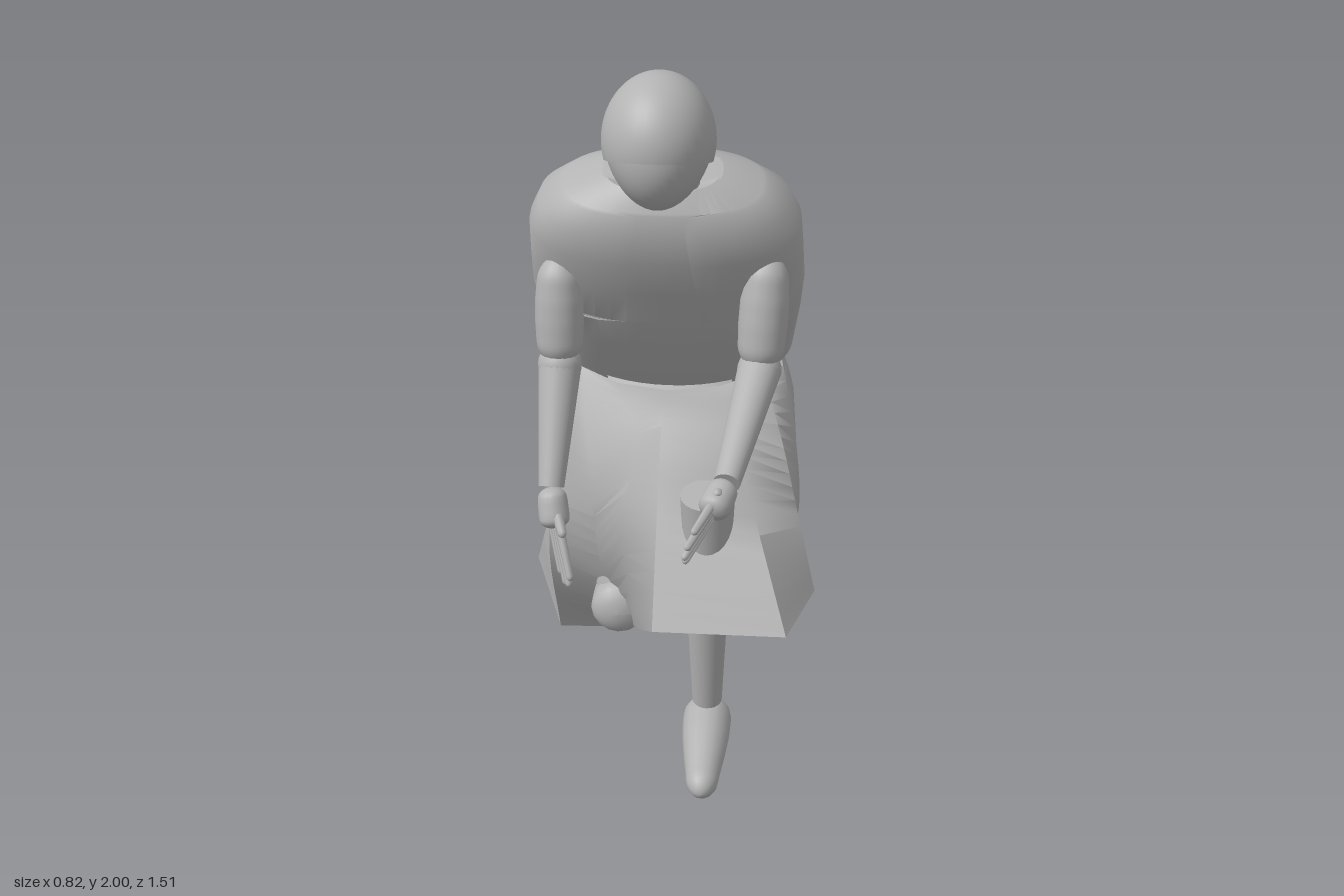
import * as THREE from 'three';
import { toCreasedNormals } from 'three/addons/utils/BufferGeometryUtils.js';

const V = (x, y, z) => new THREE.Vector3(x, y, z);
const lerp = THREE.MathUtils.lerp;

// surface through rows of points
function loft(rows, closed, crease) {
  const n = rows[0].length, pos = [], idx = [];
  rows.forEach(r => r.forEach(p => pos.push(p.x, p.y, p.z)));
  for (let i = 0; i < rows.length - 1; i++) {
    for (let j = 0; j < (closed ? n : n - 1); j++) {
      const a = i * n + j, b = i * n + (j + 1) % n;
      idx.push(a, b, b + n, a, b + n, a + n);
    }
  }
  const g = new THREE.BufferGeometry();
  g.setAttribute('position', new THREE.Float32BufferAttribute(pos, 3));
  g.setIndex(idx);
  g.computeVertexNormals();
  return toCreasedNormals(g, crease);
}

// round-ended tube whose radius follows a list spread evenly along its length
function taper(points, radii, cap, sides = 16) {
  const steps = 32, curve = new THREE.CatmullRomCurve3(points.map(p => V(...p)), false, 'centripetal');
  const g = new THREE.TubeGeometry(curve, steps, 1, sides), p = g.attributes.position, v = V(0, 0, 0);
  const len = curve.getLength();
  for (let i = 0; i <= steps; i++) {
    const u = (1 - Math.cos(Math.PI * i / steps)) / 2;
    const from = curve.getPointAt(i / steps), to = curve.getPointAt(u), s = u * (radii.length - 1);
    const k = Math.min(Math.floor(s), radii.length - 2);
    const e = 1 - Math.min(1, Math.min(u, 1 - u) * len / cap);
    const r = lerp(radii[k], radii[k + 1], s - k) * Math.sqrt(Math.max(0, 1 - e * e));
    for (let j = 0; j <= sides; j++) {
      const q = i * (sides + 1) + j;
      v.fromBufferAttribute(p, q).sub(from).multiplyScalar(r).add(to);
      p.setXYZ(q, v.x, v.y, v.z);
    }
  }
  g.computeVertexNormals();
  return g;
}

// straight cone section between two points
function cone(a, b, ra, rb) {
  const A = V(...a), B = V(...b), d = B.clone().sub(A);
  const g = new THREE.CylinderGeometry(rb, ra, d.length(), 24);
  g.applyQuaternion(new THREE.Quaternion().setFromUnitVectors(V(0, 1, 0), d.clone().normalize()));
  const m = A.add(B).multiplyScalar(0.5);
  return g.translate(m.x, m.y, m.z);
}

// torso rings: back z, back y, front z, front y, half width, half width of the front opening, roundness
const RINGS = [
  [-0.35, 1.20, -0.04, 1.03, 0.33, 0.17, 1],
  [-0.24, 1.38, 0.10, 1.20, 0.35, 0.17, 0.93],
  [-0.19, 1.47, 0.16, 1.295, 0.357, 0.17, 0.88],
  [-0.185, 1.48, 0.165, 1.305, 0.357, 0.095, 0.88],
  [-0.13, 1.57, 0.22, 1.40, 0.352, 0.09, 0.85],
  [-0.07, 1.65, 0.27, 1.50, 0.345, 0.075, 0.82],
  [-0.02, 1.70, 0.29, 1.58, 0.315, 0.065, 0.8],
  [0.02, 1.73, 0.287, 1.635, 0.26, 0.06, 0.8],
  [0.025, 1.735, 0.285, 1.642, 0.25, 0.1, 0.8],
  [0.07, 1.755, 0.26, 1.69, 0.15, 0.085, 0.85],
];

function torsoRow([bz, by, fz, fy, w, gap, e], k, open, n = 48) {
  const row = [], d = open ? Math.asin(Math.pow(gap / w, 1 / e)) : 0;
  for (let j = 0; j <= n; j++) {
    const a = lerp(d, 2 * Math.PI - d, j / n), s = Math.sin(a), c = Math.cos(a);
    const t = Math.sign(c) * Math.pow(Math.abs(c), e) * k;
    row.push(V(Math.sign(s) * Math.pow(Math.abs(s), e) * w * k,
      (by + fy) / 2 + t * (fy - by) / 2, (bz + fz) / 2 + t * (fz - bz) / 2));
  }
  return row;
}

// skirt columns, anticlockwise from the front: hip, fold, hem
const SKIRT = [
  [[0, 1.045, 0.23], [0, 0.87, 0.38], [0, 0.62, 0.55]],
  [[0.18, 1.045, 0.23], [0.25, 0.87, 0.38], [0.34, 0.62, 0.55]],
  [[0.31, 1.0, 0.18], [0.36, 0.83, 0.28], [0.41, 0.64, 0.35]],
  [[0.35, 0.92, 0.05], [0.36, 0.76, 0.17], [0.31, 0.65, 0.23]],
  [[0.34, 0.95, -0.16], [0.29, 0.8, -0.1], [0.17, 0.55, -0.02]],
  [[0.22, 0.97, -0.35], [0.14, 0.79, -0.27], [0.03, 0.46, -0.24]],
  [[0.02, 0.97, -0.4], [-0.01, 0.78, -0.3], [-0.06, 0.46, -0.25]],
  [[-0.18, 0.97, -0.36], [-0.18, 0.78, -0.3], [-0.2, 0.46, -0.26]],
  [[-0.28, 0.95, -0.27], [-0.3, 0.75, -0.27], [-0.35, 0.46, -0.27]],
  [[-0.31, 0.85, -0.15], [-0.345, 0.62, -0.18], [-0.41, 0.35, -0.26]],
  [[-0.3, 0.83, 0], [-0.34, 0.55, -0.02], [-0.34, 0.15, -0.2]],
  [[-0.2, 0.85, 0.13], [-0.19, 0.55, 0.06], [-0.13, 0.15, -0.21]],
  [[-0.07, 0.97, 0.2], [-0.1, 0.8, 0.28], [-0.07, 0.39, 0.18]],
];

// each column starts on the tilted oval of the waist
function skirtCurve(column, i) {
  const a = i / SKIRT.length * Math.PI * 2, c = Math.cos(a);
  const waist = V(0.3 * Math.sin(a), 1.105 - 0.065 * c, -0.185 + 0.185 * c);
  return new THREE.CatmullRomCurve3([waist, ...column.map(p => V(...p))], false, 'centripetal');
}

export function createModel() {
  const model = new THREE.Group();
  const grey = new THREE.MeshStandardMaterial({ color: 0xb3b3b3, side: THREE.DoubleSide });
  grey.name = 'plain grey';
  const add = (name, g, parent = model) => {
    const m = new THREE.Mesh(g, grey);
    m.name = name;
    parent.add(m);
    return m;
  };

  // head with a narrowing jaw
  const headG = new THREE.SphereGeometry(1, 40, 28), hp = headG.attributes.position;
  for (let i = 0; i < hp.count; i++) {
    const y = hp.getY(i), low = Math.max(0, -y);
    hp.setXYZ(i, hp.getX(i) * 0.133 * (1 - 0.15 * low), 1.835 + y * 0.162, 0.29 + hp.getZ(i) * 0.158 + low * 0.02);
  }
  headG.computeVertexNormals();
  add('head', headG);
  const hair = add('hair', new THREE.SphereGeometry(1, 40, 24, 0, Math.PI * 2, 0, Math.PI * 0.6));
  hair.scale.set(0.138, 0.163, 0.163);
  hair.position.set(0, 1.838, 0.292);
  hair.rotation.x = -0.25;
  add('ponytail', taper([[0, 1.83, 0.14], [0, 1.82, 0.08], [0, 1.74, -0.03], [0, 1.64, -0.11], [0, 1.54, -0.15]],
    [0.044, 0.043, 0.04, 0.037, 0.033, 0.028, 0.024], 0.03));
  add('neck', cone([0, 1.62, 0.13], [0, 1.78, 0.25], 0.1, 0.085));

  // shirt inside an open vest
  const shirt = [[-0.33, 1.08, 0, 0.98, 0.29, 0, 1], ...RINGS].map(r => torsoRow(r, 0.96, false));
  shirt.push(shirt[0].map(() => V(0, 1.66, 0.16)));
  add('shirt', loft(shirt, false, 0.8));
  add('vest', loft(RINGS.map(r => torsoRow(r, 1, true)), false, 0.7));

  // skirt draped over the raised and the kneeling leg
  const curves = SKIRT.map(skirtCurve), rows = [];
  for (let i = 0; i <= 18; i++) rows.push(curves.map(c => c.getPoint(i / 18)));
  add('skirt', loft(rows, true, 0.8));

  // seat
  for (const s of [1, -1]) {
    const seat = add(s > 0 ? 'leftSeat' : 'rightSeat', new THREE.SphereGeometry(1, 24, 16));
    seat.scale.set(0.13, 0.115, 0.15);
    seat.position.set(s * 0.09 + 0.02, 0.895, -0.245);
  }

  // raised left leg
  add('leftThigh', cone([0.12, 0.95, -0.15], [0.13, 0.86, 0.34], 0.1, 0.07));
  add('leftShin', cone([0.13, 0.26, 0.31], [0.13, 0.935, 0.395], 0.04, 0.07));
  add('leftFoot', taper([[0.13, 0.195, 0.24], [0.13, 0.17, 0.4], [0.13, 0.138, 0.578]],
    [0.064, 0.066, 0.063, 0.055, 0.045, 0.038], 0.05));

  // kneeling right leg
  add('rightThigh', cone([-0.12, 0.9, -0.2], [-0.14, 0.4, -0.04], 0.1, 0.07));
  add('rightShin', taper([[-0.14, 0.365, 0.07], [-0.14, 0.36, -0.1], [-0.135, 0.298, -0.64]],
    [0.08, 0.078, 0.07, 0.06, 0.052, 0.045, 0.038], 0.05));
  add('rightFoot', taper([[-0.135, 0.34, -0.695], [-0.135, 0.17, -0.693], [-0.14, 0, -0.695]],
    [0.063, 0.064, 0.061, 0.055, 0.048, 0.04], 0.045));

  // arms: shoulder, elbow, wrist, knuckles, fingertips, spread direction
  const arms = {
    left: [[0.265, 1.51, 0.17], [0.25, 1.21, 0.22], [0.185, 1.06, 0.56], [0.15, 1.02, 0.65], [0.095, 0.965, 0.75], [0.005, 0.017, -0.006]],
    right: [[-0.265, 1.49, 0.17], [-0.265, 1.2, 0.2], [-0.275, 0.92, 0.35], [-0.262, 0.82, 0.39], [-0.225, 0.685, 0.45], [0.008, 0.004, 0.015]],
  };
  for (const [side, [sh, el, wr, kn, tip, sp]] of Object.entries(arms)) {
    const arm = new THREE.Group();
    arm.name = side + 'Arm';
    model.add(arm);
    add('upperArm', taper([sh, el], [0.045, 0.056, 0.062, 0.063, 0.06, 0.055], 0.06), arm);
    const elbow = add('elbow', new THREE.SphereGeometry(0.057, 20, 14), arm);
    elbow.position.set(...el);
    add('forearm', cone(el, wr, 0.056, 0.033), arm);
    add('palm', taper([wr, kn], [0.034, 0.039, 0.04, 0.038], 0.025), arm);
    const shift = (p, k) => p.map((c, i) => c + sp[i] * k);
    for (let f = 0; f < 4; f++) {
      const k = f - 1.5, reach = f % 3 ? 1 : 0.85;
      const end = shift(kn.map((c, i) => lerp(c, tip[i], reach)), k * 1.3);
      add('finger' + (f + 1), taper([shift(wr.map((c, i) => lerp(c, kn[i], 0.7)), k), end],
        [0.012, 0.011, 0.009], 0.01, 8), arm);
    }
    const mid = wr.map((c, i) => lerp(c, kn[i], 0.2));
    const thumb = shift(wr.map((c, i) => lerp(c, kn[i], 1.1)), 3.2);
    add('thumb', taper([mid, thumb], [0.017, 0.015, 0.011], 0.012, 8), arm);
  }
  return model;
}
